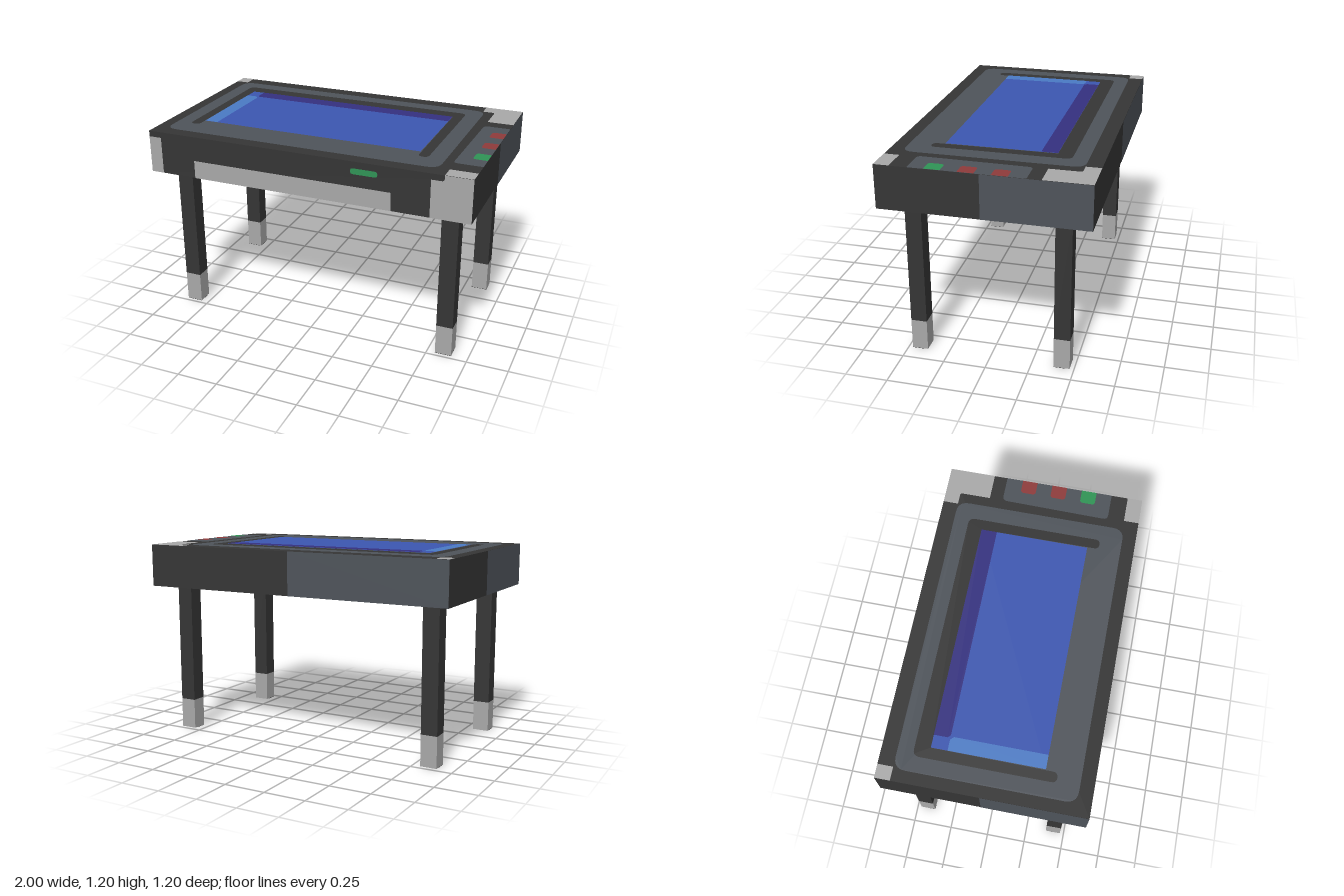
import * as THREE from 'three';

const material = (name, color) => {
  const m = new THREE.MeshStandardMaterial({ color });
  m.name = name;
  return m;
};

const charcoal = material('charcoal', 0x353535);
const slate = material('slate', 0x4e535a);
const grey = material('light grey', 0xa8a8a8);
const blue = material('screen blue', 0x3c56b0);
const sky = material('light blue', 0x4a7ac4);
const indigo = material('indigo', 0x34307f);
const red = material('red', 0x8e3b3b);
const green = material('green', 0x2f9355);

const W = 1, D = 0.6, BOTTOM = 0.94, TOP = 1.2, GAP = 0.0012;

// Outline through points, each corner cut by a quadratic curve of radius p[2]
function outline(points) {
  const shape = new THREE.Shape();
  const n = points.length;
  points.forEach(([x, y, r = 0], i) => {
    const toward = ([ax, ay]) => {
      const len = Math.hypot(ax - x, ay - y);
      return [x + (ax - x) * r / len, y + (ay - y) * r / len];
    };
    const a = toward(points[(i + n - 1) % n]);
    const b = toward(points[(i + 1) % n]);
    if (i === 0) shape.moveTo(...a); else shape.lineTo(...a);
    if (r) shape.quadraticCurveTo(x, y, ...b);
  });
  shape.closePath();
  return shape;
}

const rect = (x0, x1, y0, y1, r = 0) => [[x0, y0, r], [x1, y0, r], [x1, y1, r], [x0, y1, r]];

export function createModel() {
  const model = new THREE.Group();
  model.name = 'arcadeTable';

  const box = (name, mat, w, h, d, x, y, z, parent = model) => {
    const mesh = new THREE.Mesh(new THREE.BoxGeometry(w, h, d), mat);
    mesh.name = name;
    mesh.position.set(x, y, z);
    parent.add(mesh);
  };
  const face = (name, mat, points) => {
    const mesh = new THREE.Mesh(new THREE.ShapeGeometry(outline(points), 5), mat);
    mesh.name = name;
    model.add(mesh);
    return mesh;
  };
  // Painted faces on the top: points are (x, z)
  const onTop = (name, mat, layer, points) => {
    const mesh = face(name, mat, points.map(([x, z, r]) => [x, -z, r]));
    mesh.rotation.x = -Math.PI / 2;
    mesh.position.y = TOP + layer * GAP;
  };
  // Painted faces on the front: points are (x, y)
  const onFront = (name, mat, points) => {
    face(name, mat, points).position.z = D + GAP;
  };

  // Cabinet
  box('cabinet', charcoal, 2 * W, TOP - BOTTOM, 2 * D, 0, (TOP + BOTTOM) / 2, 0);

  // Slate halves on the sides, back and underside
  const rightHalf = face('rightSlatePanel', slate, rect(-0.01, D, BOTTOM, TOP));
  rightHalf.rotation.y = Math.PI / 2;
  rightHalf.position.x = W + GAP;
  const leftHalf = face('leftSlatePanel', slate, rect(-0.01, D, BOTTOM, TOP));
  leftHalf.rotation.y = -Math.PI / 2;
  leftHalf.position.x = -W - GAP;
  const backHalf = face('backSlatePanel', slate, rect(0, W, BOTTOM, TOP));
  backHalf.rotation.y = Math.PI;
  backHalf.position.z = -D - GAP;
  const underHalf = face('undersideSlatePanel', slate, rect(0, W, -D, D));
  underHalf.rotation.x = Math.PI / 2;
  underHalf.position.y = BOTTOM - GAP;

  // Screen surround and its dark horseshoe frame
  onTop('screenSurround', slate, 1, rect(-0.93, 0.78, -0.51, 0.52, 0.07));
  onTop('screenFrame', charcoal, 2, [
    [-0.84, -0.42, 0.04], [0.68, -0.42, 0.04], [0.68, 0.39, 0.03], [0.62, 0.39, 0.03],
    [0.615, -0.33], [-0.775, -0.33], [-0.78, 0.39, 0.03], [-0.84, 0.39, 0.03],
  ]);

  // Screen with its shaded border
  onTop('screen', blue, 3, rect(-0.775, 0.615, -0.33, 0.32));
  onTop('screenTopBorder', indigo, 4, [
    [-0.7, -0.33], [0.615, -0.33], [0.615, -0.235], [-0.685, -0.235], [-0.7, -0.25],
  ]);
  onTop('screenSideBorder', sky, 4, [
    [-0.775, -0.235], [-0.71, -0.235], [-0.692, -0.215], [-0.692, 0.32], [-0.775, 0.32],
  ]);

  // Control panel and buttons
  onTop('controlPanel', slate, 1, [
    [0.84, -0.245, 0.03], [W, -0.245], [W, 0.41], [0.83, 0.41, 0.03],
  ]);
  [[-0.1, red], [0.085, red], [0.27, green]].forEach(([z, mat]) => {
    onTop('button', mat, 2, [
      [0.915, z - 0.046, 0.02], [W, z - 0.046], [W, z + 0.046], [0.915, z + 0.046, 0.02],
    ]);
  });

  // Grey corner plates on the top
  onTop('backLeftCorner', grey, 1, rect(-W, -0.92, -D, -0.51));
  onTop('frontRightCorner', grey, 1, rect(0.84, W, 0.51, D));
  onTop('backRightCorner', grey, 1, [
    [0.765, -D], [W, -D], [W, -0.325], [0.84, -0.325], [0.84, -0.51, 0.015], [0.765, -0.51],
  ]);

  // Front trim
  onFront('frontLeftTrim', grey, rect(-W, -0.92, BOTTOM, 1.165));
  onFront('frontCenterTrim', grey, rect(-0.7, 0.54, BOTTOM, 1.05));
  onFront('frontRightTrim', grey, [
    [0.765, BOTTOM], [W, BOTTOM], [W, TOP], [0.84, TOP], [0.84, 1.165, 0.015], [0.765, 1.165],
  ]);
  onFront('frontLight', green, rect(0.3, 0.46, 1.125, 1.16, 0.015));

  // Legs with grey feet and dark soles
  for (const sx of [-1, 1]) for (const sz of [-1, 1]) {
    const leg = new THREE.Group();
    leg.name = 'leg';
    leg.position.set(sx * 0.85, 0, sz * 0.4275);
    box('post', charcoal, 0.1, BOTTOM - 0.19, 0.095, 0, (BOTTOM + 0.19) / 2, 0, leg);
    box('foot', grey, 0.1, 0.188, 0.095, 0, 0.096, 0, leg);
    box('sole', charcoal, 0.1, 0.002, 0.07, 0, 0.001, 0.0125, leg);
    model.add(leg);
  }
  return model;
}
